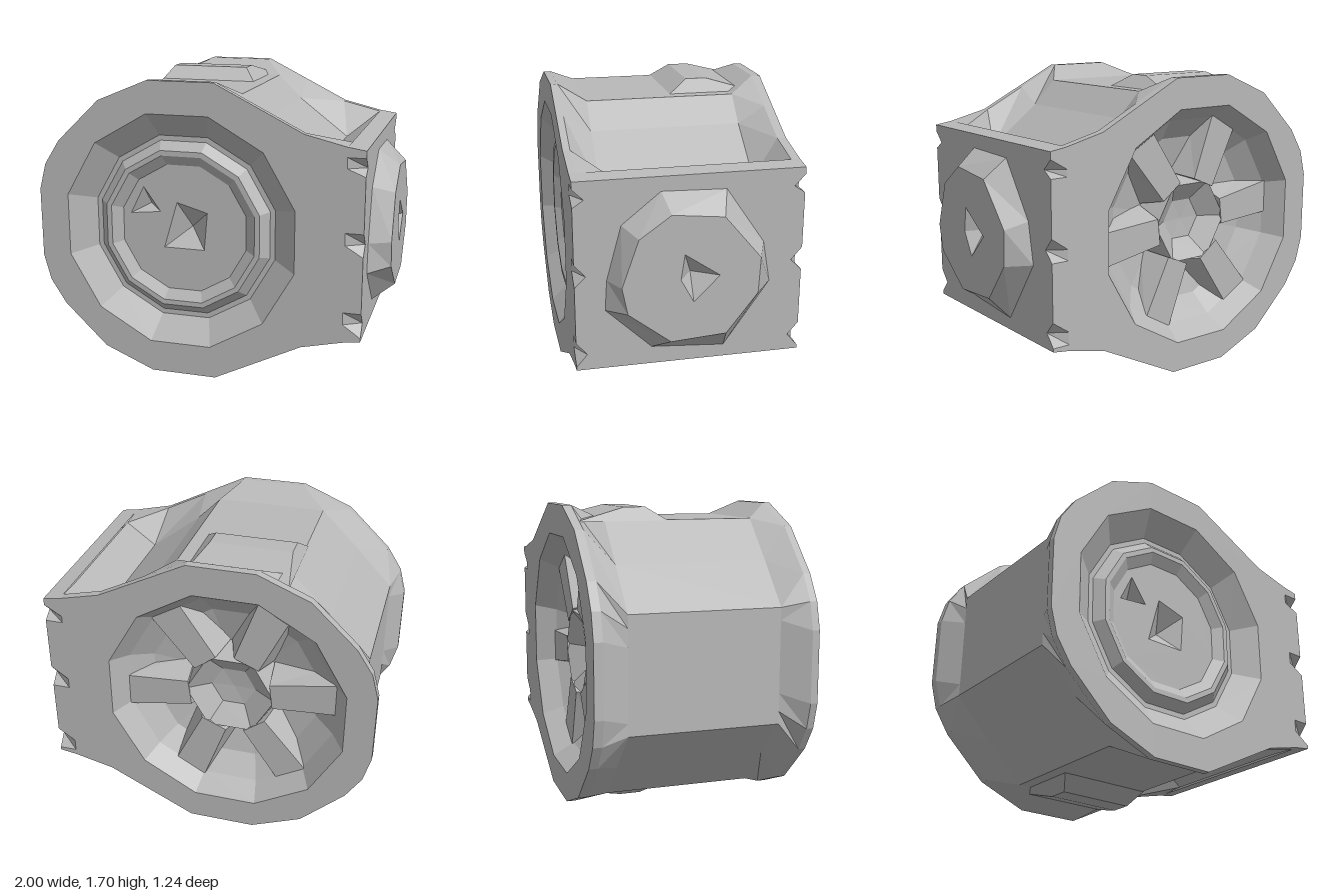
import * as THREE from 'three';
import { mergeGeometries } from 'three/addons/utils/BufferGeometryUtils.js';

const CX = -0.16, CY = 0.85; // axis of the round housing
const grey = new THREE.MeshStandardMaterial({ color: 0xb8b8b8, flatShading: true, side: THREE.DoubleSide });
grey.name = 'grey metal';

const v2 = (list) => list.map(([x, y]) => new THREE.Vector2(x, y));

function ngon(n, r, cx = 0, cy = 0) {
  return Array.from({ length: n }, (_, i) => {
    const a = ((i + 0.5) / n) * Math.PI * 2;
    return [cx + r * Math.cos(a), cy + r * Math.sin(a)];
  });
}

function fromTriangles(pos) {
  const g = new THREE.BufferGeometry();
  g.setAttribute('position', new THREE.Float32BufferAttribute(pos, 3));
  g.computeVertexNormals();
  return g;
}

// Side walls through anticlockwise sections [points, z], stacked along z
function loft(sections) {
  const pos = [];
  for (let s = 0; s < sections.length - 1; s++) {
    const [a, za] = sections[s], [b, zb] = sections[s + 1];
    for (let i = 0; i < a.length; i++) {
      const j = (i + 1) % a.length;
      pos.push(...a[i], za, ...a[j], za, ...b[j], zb, ...a[i], za, ...b[j], zb, ...b[i], zb);
    }
  }
  return fromTriangles(pos);
}

// Flat face at height z, with open holes and pyramid dents { rim, apex }
function plate(contour, z, holes = [], dents = []) {
  const shape = new THREE.Shape(v2(contour));
  for (const h of [...holes, ...dents.map((d) => d.rim)]) shape.holes.push(new THREE.Path(v2(h)));
  const flat = new THREE.ShapeGeometry(shape).toNonIndexed();
  flat.deleteAttribute('uv');
  flat.translate(0, 0, z);
  const pos = [];
  for (const { rim, apex } of dents) {
    rim.forEach((p, i) => pos.push(...p, z, ...rim[(i + 1) % rim.length], z, apex[0], apex[1], z - apex[2]));
  }
  return pos.length ? mergeGeometries([flat, fromTriangles(pos)]) : flat;
}

// Turned surface facing +z, profile [radius, z] listed from outside to inside
function turned(profile, sides) {
  const g = new THREE.LatheGeometry(v2(profile), sides, Math.PI / sides, Math.PI * 2);
  return g.rotateX(Math.PI / 2);
}

function part(name, geometry, parent) {
  const m = new THREE.Mesh(geometry, grey);
  m.name = name;
  parent.add(m);
  return m;
}

// Upper half outline mirrored below the axis, anticlockwise
function outline(upper) {
  return [...upper.map(([x, y]) => [x, 2 * CY - y]), ...[...upper].reverse()];
}

export function createModel() {
  const model = new THREE.Group();
  model.name = 'motorHousing';

  // Body: two flared flanges with an octagonal waist between them
  const rim = outline([[-1, 1.05], [-0.96, 1.2], [-0.87, 1.34], [-0.62, 1.58], [-0.33, 1.7],
    [0.05, 1.7], [0.3, 1.575], [0.55, 1.45], [0.78, 1.395]]);
  const waist = outline([[-0.92, 1.0], [-0.92, 1.1], [-0.92, 1.17], [-0.7, 1.4], [-0.48, 1.62],
    [0.16, 1.62], [0.3, 1.48], [0.6, 1.25], [0.78, 1.385]]);
  part('body', loft([[rim, -0.62], [rim, -0.57], [waist, -0.42], [waist, 0.43], [rim, 0.58], [rim, 0.62]]), model);

  // Flange faces with round openings
  part('frontFlange', plate(rim, 0.62, [ngon(12, 0.69, CX, CY)]), model);
  const back = plate(rim.map(([x, y]) => [-x, y]).reverse(), 0.62, [ngon(12, 0.7, -CX, CY)]);
  part('backFlange', back.rotateY(Math.PI), model);

  // Front recess: sloping groove, raised ridge and shallow dish
  const recess = turned([[0.69, 0.62], [0.55, 0.51], [0.52, 0.51], [0.47, 0.56], [0.44, 0.56], [0.38, 0.52]], 12);
  part('frontRecess', recess.translate(CX, CY, 0), model);
  part('frontDish', plate(ngon(12, 0.38, CX, CY), 0.52, [], [
    { rim: [[-0.2, 1.0], [-0.28, 0.73], [-0.04, 0.73], [-0.02, 0.95]], apex: [-0.14, 0.84, 0.1] },
    { rim: [[-0.4, 1.08], [-0.48, 0.92], [-0.3, 0.94]], apex: [-0.38, 0.97, 0.07] },
  ]), model);

  // Back recess: bowl, cupped hub and six broad spokes
  const wheel = new THREE.Group();
  wheel.name = 'backWheel';
  wheel.position.set(CX, CY, 0);
  wheel.rotation.y = Math.PI;
  model.add(wheel);
  part('backDish', turned([[0.7, 0.62], [0.62, 0.5], [0.5, 0.4], [0.25, 0.34]], 12), wheel);
  part('hub', turned([[0.31, 0.33], [0.26, 0.51], [0.13, 0.42], [0, 0.41]], 6), wheel);
  for (let i = 0; i < 6; i++) {
    const g = new THREE.BoxGeometry(0.4, 0.28, 0.18).translate(0.44, 0, 0.42);
    const p = g.attributes.position;
    for (let k = 0; k < p.count; k++) { // narrow the crest towards the hub
      if (p.getZ(k) > 0.45) p.setY(k, p.getY(k) * (p.getX(k) > 0.5 ? 0.7 : 0.55));
    }
    part('spoke', g, wheel).rotation.z = (i * Math.PI) / 3 + 0.12;
  }

  // Mounting block: outer edge nicked at three heights on both sides
  const nicks = [[0.34, 0.41, 0.48], [0.8, 0.86, 0.93], [1.24, 1.28, 1.34]];
  const blockSection = (lo, hi, depth) => {
    const side = [[0.62, lo]];
    for (const [a, b, c] of nicks) side.push([0.62, a], [0.62 - depth, b], [0.62, c]);
    side.push([0.62, hi]);
    return [...side, ...[...side].reverse().map(([x, y]) => [-x, y])];
  };
  const outer = blockSection(0.32, 1.38, 0.06);
  const block = mergeGeometries([loft([[blockSection(0.305, 1.395, 0), 0.78], [outer, 0.88]]), plate(outer, 0.88)]);
  part('mountBlock', block.rotateY(Math.PI / 2), model);

  // Uneven many-sided boss with a dented centre
  const bossTop = [[-0.39, 0.83], [-0.36, 0.68], [-0.13, 0.5], [0.17, 0.52], [0.34, 0.74],
    [0.35, 0.94], [0.15, 1.18], [-0.13, 1.21], [-0.3, 1.09]];
  const bossBase = [[-0.45, 0.83], [-0.46, 0.66], [-0.21, 0.42], [0.19, 0.39], [0.44, 0.75],
    [0.4, 0.98], [0.19, 1.29], [-0.16, 1.3], [-0.37, 1.13]];
  const boss = mergeGeometries([
    loft([[bossBase, 0.88], [bossTop, 1]]),
    plate(bossTop, 1, [], [
      { rim: [[-0.06, 0.99], [-0.08, 0.85], [-0.01, 0.72], [0.13, 0.86]], apex: [-0.01, 0.86, 0.09] },
    ]),
  ]);
  part('sideBoss', boss.rotateY(Math.PI / 2), model);

  // Wedge lugs above and below the waist, running into the back flange
  const rect = (x0, x1, y0, y1) => [[x0, y0], [x1, y0], [x1, y1], [x0, y1]];
  const crest = rect(-0.29, 0.17, 0.18, 0.3);
  const lug = mergeGeometries([loft([[rect(-0.33, 0.25, 0.06, 0.58), 0.765], [crest, 0.84]]), plate(crest, 0.84)]);
  lug.rotateX(-Math.PI / 2);
  for (const [name, turn] of [['topLug', 0], ['bottomLug', Math.PI]]) {
    const m = part(name, lug, model);
    m.position.set(CX, CY, 0);
    m.rotation.z = turn;
  }
  return model;
}
